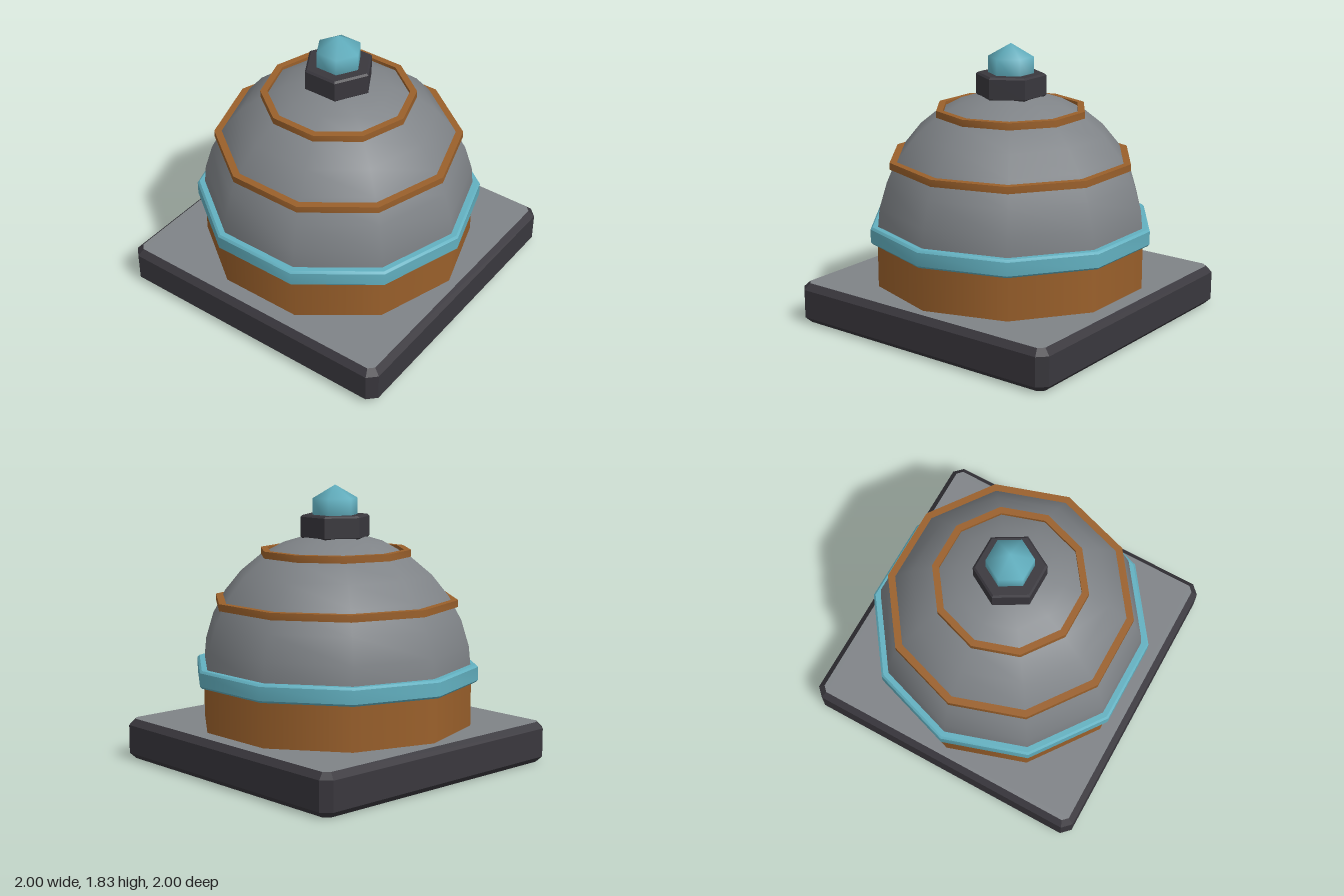
import * as THREE from 'three';
import { toCreasedNormals } from 'three/addons/utils/BufferGeometryUtils.js';

const SIDES = 10;

function material(name, color) {
  const m = new THREE.MeshStandardMaterial({ color });
  m.name = name;
  return m;
}

// Closed ten-sided band from a profile of [radius, height], with an optional chamfer
function bandGeometry(inner, outer, bottom, top, c = 0) {
  const profile = c > 0
    ? [[inner, bottom], [outer - c, bottom], [outer, bottom + c], [outer, top - c], [outer - c, top], [inner, top], [inner, bottom]]
    : [[inner, bottom], [outer, bottom], [outer, top], [inner, top], [inner, bottom]];
  const points = profile.map(([r, y]) => new THREE.Vector2(r, y));
  const geometry = new THREE.LatheGeometry(points, SIDES, Math.PI / 2);
  return toCreasedNormals(geometry, THREE.MathUtils.degToRad(40));
}

// Chamfered upright prism standing on the given height
function chamferedPrism(corners, bottom, top, chamfer) {
  const shape = new THREE.Shape(corners.map(([x, y]) => new THREE.Vector2(x, y)));
  const geometry = new THREE.ExtrudeGeometry(shape, {
    depth: top - bottom - 2 * chamfer,
    bevelEnabled: true, bevelSegments: 1,
    bevelSize: chamfer, bevelThickness: chamfer, bevelOffset: 0,
  });
  geometry.rotateX(-Math.PI / 2);
  geometry.translate(0, bottom + chamfer, 0);
  return geometry;
}

export function createModel() {
  const model = new THREE.Group();
  model.name = 'domedOrnament';

  const stone = material('stoneGrey', 0x7f8387);
  const dark = material('darkIron', 0x39373d);
  const bronze = material('bronze', 0x9a602b);
  const teal = material('teal', 0x62b0c0);

  const add = (name, geometry, mat, y = 0) => {
    const mesh = new THREE.Mesh(geometry, mat);
    mesh.name = name;
    mesh.position.y = y;
    model.add(mesh);
  };

  // Square plinth: grey top and bottom, dark chamfered rim with cut corners
  const a = 1, b = 0.96;
  const square = [[b, -b], [b, b], [-b, b], [-b, -b]];
  const plinth = chamferedPrism(square, 0, 0.27, a - b);
  // Clip the sharp upright corners into narrow chamfers
  const octagon = [[b, -0.925], [b, 0.925], [0.925, b], [-0.925, b],
    [-b, 0.925], [-b, -0.925], [-0.925, -b], [0.925, -b]];
  plinth.dispose();
  add('plinth', chamferedPrism(octagon, 0, 0.27, a - b), [stone, dark]);

  // Drum and dome
  add('drum', new THREE.CylinderGeometry(0.9, 0.9, 0.36, SIDES, 1, false, Math.PI / 2), bronze, 0.44);
  add('dome', new THREE.SphereGeometry(0.9, SIDES, 8, 0, Math.PI * 2, 0, Math.PI / 2), stone, 0.62);

  // Bands around the dome
  add('collarBand', bandGeometry(0.89, 0.945, 0.56, 0.675, 0.014), teal);
  add('lowerBand', bandGeometry(0.76, 0.81, 1.05, 1.095), bronze);
  add('upperBand', bandGeometry(0.455, 0.5, 1.37, 1.415), bronze);

  // Hexagonal finial socket holding the gem
  const hexagon = [];
  for (let i = 0; i < 6; i++) {
    const t = (i * Math.PI) / 3;
    hexagon.push([0.216 * Math.cos(t), 0.216 * Math.sin(t)]);
  }
  add('finialSocket', chamferedPrism(hexagon, 1.485, 1.637, 0.012), dark);
  add('gem', new THREE.SphereGeometry(0.173, 6, 3), teal, 1.657);

  return model;
}
